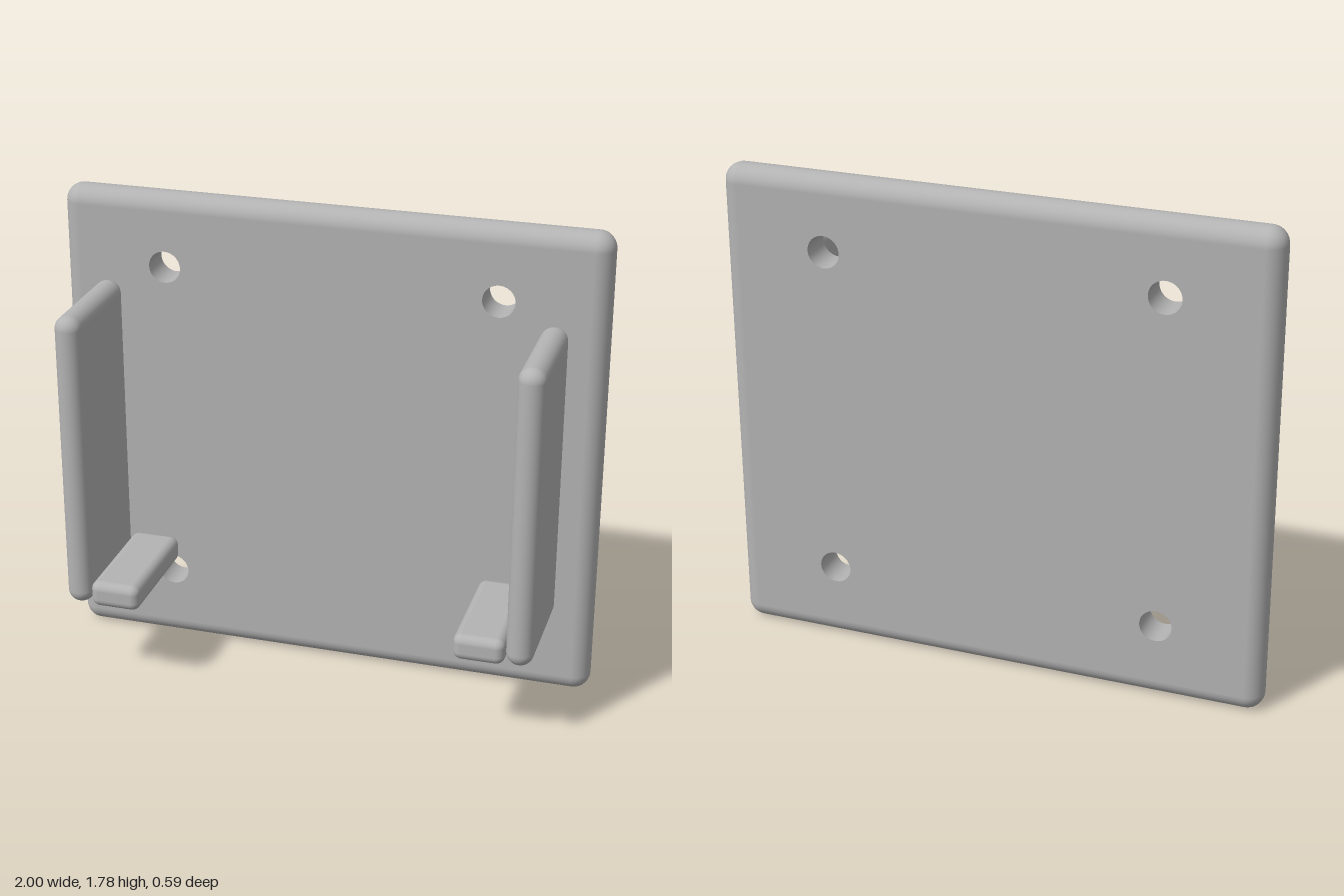
import * as THREE from 'three';
import { RoundedBoxGeometry } from 'three/addons/geometries/RoundedBoxGeometry.js';

const W = 2, H = 1.78, T = 0.127, R = T / 2, PLATE_Z = -0.2275;
const HX = W / 2 - R, HY = H / 2 - R; // flat part of the plate
const HOLE_R = 0.059;
const HOLES = [[-0.613, 0.285], [0.613, 0.285], [-0.613, 1.51], [0.613, 1.51]];

// Half-round edge swept around the plate, with ball corners
function rimGeometry() {
  const steps = 10, arc = 16, pos = [], nor = [], index = [];
  const corners = [[HX, HY], [-HX, HY], [-HX, -HY], [HX, -HY]];
  corners.forEach(([cx, cy], q) => {
    for (let i = 0; i <= steps; i++) {
      const t = (q + i / steps) * Math.PI / 2;
      for (let j = 0; j <= arc; j++) {
        const a = Math.PI / 2 - Math.PI * j / arc;
        const n = [Math.cos(t) * Math.cos(a), Math.sin(t) * Math.cos(a), Math.sin(a)];
        nor.push(...n);
        pos.push(cx + n[0] * R, cy + n[1] * R, n[2] * R);
      }
    }
  });
  const rings = 4 * (steps + 1), row = arc + 1;
  for (let i = 0; i < rings; i++) {
    for (let j = 0; j < arc; j++) {
      const a = i * row + j, c = ((i + 1) % rings) * row + j;
      index.push(a, a + 1, c, a + 1, c + 1, c);
    }
  }
  const g = new THREE.BufferGeometry();
  g.setAttribute('position', new THREE.Float32BufferAttribute(pos, 3));
  g.setAttribute('normal', new THREE.Float32BufferAttribute(nor, 3));
  g.setIndex(index);
  return g;
}

// Flat plate face with the screw holes cut out
function faceGeometry() {
  const s = new THREE.Shape();
  s.moveTo(-HX, -HY).lineTo(HX, -HY).lineTo(HX, HY).lineTo(-HX, HY).closePath();
  for (const [x, y] of HOLES) {
    s.holes.push(new THREE.Path().absarc(x, y - H / 2, HOLE_R, 0, Math.PI * 2, true));
  }
  return new THREE.ShapeGeometry(s, 20);
}

export function createModel() {
  const model = new THREE.Group();
  model.name = 'wallBracket';
  const grey = new THREE.MeshStandardMaterial({ color: 0xb3b3b3, side: THREE.DoubleSide });
  grey.name = 'grey';

  const add = (parent, name, geometry, x, y, z) => {
    const m = new THREE.Mesh(geometry, grey);
    m.name = name;
    m.position.set(x, y, z);
    parent.add(m);
    return m;
  };

  // Back plate
  const plate = new THREE.Group();
  plate.name = 'backPlate';
  plate.position.set(0, H / 2, PLATE_Z);
  model.add(plate);
  add(plate, 'plateRim', rimGeometry(), 0, 0, 0);
  add(plate, 'plateFront', faceGeometry(), 0, 0, R);
  add(plate, 'plateBack', faceGeometry(), 0, 0, -R).rotation.y = Math.PI;
  for (const [x, y] of HOLES) {
    const wall = new THREE.CylinderGeometry(HOLE_R, HOLE_R, T, 40, 1, true).rotateX(Math.PI / 2);
    add(plate, 'screwHole', wall, x, y - H / 2, 0);
  }

  // Side walls and the ledges at their feet
  for (const [side, s] of [['left', 1], ['right', -1]]) {
    add(model, side + 'Wall', new RoundedBoxGeometry(0.098, 1.118, 0.458, 6, 0.0485), s * 0.819, 0.895, 0.065);
    add(model, side + 'Ledge', new RoundedBoxGeometry(0.186, 0.098, 0.458, 5, 0.032), s * 0.677, 0.385, 0.065);
  }
  return model;
}
